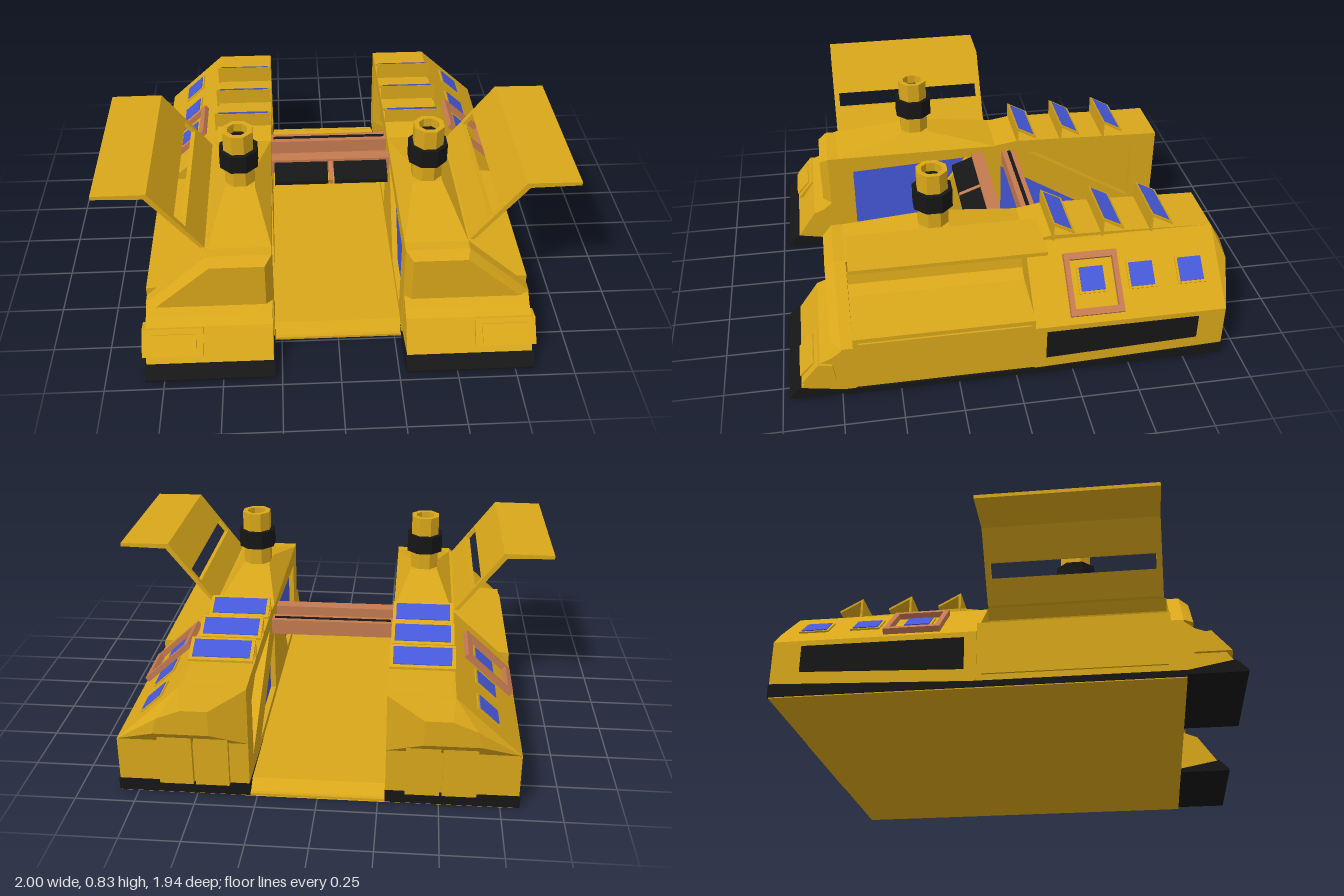
import * as THREE from 'three';
import { ConvexGeometry } from 'three/addons/geometries/ConvexGeometry.js';

const mat = (color) => new THREE.MeshStandardMaterial({ color, flatShading: true });
const V = (x, y, z) => new THREE.Vector3(x, y, z);

// Box given by its limits
function box(x0, x1, y0, y1, z0, z1) {
  return new THREE.BoxGeometry(x1 - x0, y1 - y0, z1 - z0)
    .translate((x0 + x1) / 2, (y0 + y1) / 2, (z0 + z1) / 2);
}

// Section of [x, y] points, extruded from z0 to z1
function alongZ(points, z0, z1) {
  const shape = new THREE.Shape(points.map((p) => new THREE.Vector2(...p)));
  return new THREE.ExtrudeGeometry(shape, { depth: z1 - z0, bevelEnabled: false }).translate(0, 0, z0);
}

// Side profile of [z, y] points, extruded from x0 to x1, with holes
function alongX(points, x0, x1, holes = []) {
  const to2 = (ps) => ps.map(([z, y]) => new THREE.Vector2(-z, y));
  const shape = new THREE.Shape(to2(points));
  for (const h of holes) shape.holes.push(new THREE.Path(to2(h)));
  return new THREE.ExtrudeGeometry(shape, { depth: x1 - x0, bevelEnabled: false })
    .rotateY(Math.PI / 2).translate(x0, 0, 0);
}

// Solid between two outlines of [x, y] at two depths
const taper = (a, za, b, zb) => new ConvexGeometry(
  [...a.map(([x, y]) => V(x, y, za)), ...b.map(([x, y]) => V(x, y, zb))]);

// Mirrored copy across x = 0, with the winding turned round
function mirrored(geometry) {
  const g = geometry.index ? geometry.toNonIndexed() : geometry.clone();
  const p = g.attributes.position, a = V(), b = V();
  for (let i = 0; i < p.count; i++) p.setX(i, -p.getX(i));
  for (let i = 0; i < p.count; i += 3) {
    a.fromBufferAttribute(p, i + 1);
    b.fromBufferAttribute(p, i + 2);
    p.setXYZ(i + 1, b.x, b.y, b.z);
    p.setXYZ(i + 2, a.x, a.y, a.z);
  }
  g.computeVertexNormals();
  return g;
}

export function createModel() {
  const model = new THREE.Group();
  const gold = mat(0xd9a71a), black = mat(0x161616), blue = mat(0x4658d8), orange = mat(0xc47a50);
  const single = (name, g, m) => {
    const mesh = new THREE.Mesh(g, m);
    mesh.name = name;
    model.add(mesh);
  };
  const pair = (name, g, m = gold) => {
    single(name + 'Left', g, m);
    single(name + 'Right', mirrored(g), m);
  };

  // Hull bodies: rear cabin, open side bay, front bulkhead
  const inner = 0.32;
  const full = [[inner, 0.01], [0.825, 0.01], [0.825, 0.25], [0.55, 0.5], [inner, 0.5]];
  const bay = [[inner, 0.01], [0.82, 0.01], [0.82, 0.29], [0.56, 0.31], [0.51, 0.34],
    [0.5, 0.4], [0.52, 0.46], [0.56, 0.5], [inner, 0.5]];
  pair('rearCabin', alongZ(full, -0.92, -0.08));
  pair('sideBay', alongZ(bay, -0.08, 0.69));
  pair('frontBulkhead', alongZ(full, 0.69, 0.74));
  pair('cabinRoof', alongX([[-0.9, 0.5], [-0.2, 0.52], [-0.08, 0.5]], 0.28, 0.54));

  // Tapered ends of the upper hull
  const upper = [[0.28, 0.25], [0.825, 0.25], [0.55, 0.5], [0.28, 0.5]];
  pair('frontCap', taper(upper, 0.74, [[0.31, 0.26], [0.78, 0.26], [0.54, 0.47], [0.31, 0.47]], 0.78));
  pair('rearCap', taper(upper, -0.92, [[0.43, 0.31], [0.66, 0.31], [0.64, 0.38], [0.54, 0.42], [0.43, 0.42]], -0.97));
  pair('rearDoor', box(0.36, 0.5, 0.06, 0.29, -0.945, -0.92));
  pair('rearDoor', box(0.51, 0.65, 0.06, 0.29, -0.945, -0.92));

  // Inner walls with glazed openings and a slanted strut
  const frontHole = [[0.62, 0.08], [0.62, 0.42], [0.05, 0.45], [0.33, 0.08]];
  const rearHole = [[-0.12, 0.38], [-0.12, 0.08], [-0.6, 0.08]];
  const upperHole = [[-0.26, 0.45], [-0.8, 0.45], [-0.8, 0.13]];
  pair('innerWall', alongX([[-0.92, 0.01], [-0.92, 0.5], [0.74, 0.5], [0.74, 0.01]], 0.28, inner,
    [frontHole, rearHole, upperHole]));
  pair('frontInnerWindow', alongX(frontHole, 0.305, 0.325), blue);
  pair('rearInnerWindow', alongX(rearHole, 0.305, 0.325), blue);

  // Noses, lamps and dark skids
  pair('nose', alongX([[0.73, 0.02], [0.73, 0.25], [0.78, 0.21], [0.83, 0.19], [0.92, 0.06], [0.92, 0.03]], 0.285, 0.825));
  pair('noseLamp', alongX([[0.77, 0.1], [0.78, 0.18], [0.84, 0.19], [0.915, 0.1]], 0.58, 0.84));
  pair('lampPanel', alongX([[0.84, 0.11], [0.85, 0.17], [0.86, 0.175], [0.92, 0.11]], 0.61, 0.8));
  pair('skid', alongX([[-0.922, 0.004], [-0.922, 0.06], [-0.1, 0.03], [0.74, 0.03], [0.925, 0.065],
    [0.97, 0.02], [0.97, 0.012], [0.74, 0.012], [0.74, 0.004]], 0.279, 0.83), black);

  // Outer side panels
  pair('bayPanel', box(0.81, 0.829, 0.06, 0.27, -0.06, 0.67));
  pair('sideGrille', alongX([[-0.13, 0.085], [-0.13, 0.225], [-0.8, 0.225], [-0.8, 0.11]], 0.81, 0.829), black);

  // Windows on the sloping side, the first one framed
  const tilt = -Math.atan2(0.25, 0.275);
  const onSlope = (length, height, width, along, z) => new THREE.BoxGeometry(length, height, width)
    .translate(along, 0, z).rotateZ(tilt).translate(0.685, 0.377, 0);
  for (const z of [-0.35, -0.57, -0.79]) {
    pair('windowRim', onSlope(0.125, 0.014, 0.125, 0, z));
    pair('sideWindow', onSlope(0.105, 0.022, 0.105, 0, z), blue);
  }
  for (const s of [-1, 1]) {
    pair('windowFrameEnd', onSlope(0.03, 0.05, 0.235, s * 0.122 + 0.02, -0.353), orange);
    pair('windowFrameSide', onSlope(0.27, 0.05, 0.022, 0.02, -0.353 + s * 0.106), orange);
  }

  // Raised wing doors: sloped part with a slot, then a flat part
  const slope = (t0, t1, z0, z1) => alongZ([[0.56 + 0.215 * t0, 0.5 + 0.285 * t0], [0.58 + 0.215 * t0, 0.5 + 0.27 * t0],
    [0.58 + 0.215 * t1, 0.5 + 0.27 * t1], [0.56 + 0.215 * t1, 0.5 + 0.285 * t1]], z0, z1);
  pair('wingLower', slope(0, 0.34, -0.075, 0.68));
  pair('wingUpper', slope(0.54, 1, -0.075, 0.68));
  pair('wingSlotEnd', slope(0.34, 0.54, -0.075, -0.05));
  pair('wingSlotEnd', slope(0.34, 0.54, 0.655, 0.68));
  pair('wingFlat', alongZ([[0.775, 0.785], [0.79, 0.762], [1, 0.767], [1, 0.783]], -0.075, 0.68));

  // Exhaust stacks on pyramid bases
  const rect = (x0, x1, y, z0, z1) => [V(x0, y, z0), V(x1, y, z0), V(x1, y, z1), V(x0, y, z1)];
  pair('stackBase', new ConvexGeometry([...rect(0.28, 0.55, 0.5, -0.1, 0.69), ...rect(0.35, 0.48, 0.575, 0.235, 0.365)]));
  const drum = (r, y0, y1, open = false) => new THREE.CylinderGeometry(r, r, y1 - y0, 8, 1, open)
    .rotateY(Math.PI / 8).translate(0.415, (y0 + y1) / 2, 0.3);
  const ring = [[0.046, 0.79], [0.07, 0.55], [0.07, 0.835], [0.046, 0.835], [0.046, 0.79]]
    .slice(1).map((p) => new THREE.Vector2(...p));
  pair('stack', new THREE.LatheGeometry(ring, 8).rotateY(Math.PI / 8).translate(0.415, 0, 0.3));
  pair('stackBore', drum(0.05, 0.6, 0.795), black);
  pair('stackCollar', drum(0.09, 0.66, 0.745), black);

  // Tilted roof panels on upright plates
  for (const z of [-0.2, -0.42, -0.64]) {
    const sheet = (a, b, lift) => [[z - a, 0.59 - 0.55 * a + lift], [z - b, 0.59 - 0.55 * b + lift],
      [z - b, 0.58 - 0.55 * b], [z - a, 0.58 - 0.55 * a]];
    pair('roofPanelFrame', alongX(sheet(0, 0.1, 0), 0.28, 0.55));
    pair('roofPanelCell', alongX(sheet(0.012, 0.088, 0.003), 0.295, 0.535), blue);
    pair('roofPanelPost', box(0.28, 0.55, 0.5, 0.585, z - 0.01, z));
  }

  // Cargo floor and underside
  single('floor', alongX([[-0.92, 0], [-0.85, 0.045], [0.68, 0.05], [0.73, 0.005], [0.73, 0]], -0.3, 0.3), gold);
  single('underside', box(-0.825, 0.825, 0, 0.012, -0.918, 0.738), gold);

  // Cross beams with dark slats
  single('frontBeam', box(-0.28, 0.28, 0.395, 0.47, -0.03, 0.03), orange);
  single('rearBeam', box(-0.28, 0.28, 0.4, 0.47, -0.19, -0.125), orange);
  single('rearBeamGroove', box(-0.27, 0.27, 0.46, 0.473, -0.167, -0.15), black);
  const slat = [[0.02, 0.44], [0.02, 0.462], [0.13, 0.42], [0.13, 0.4]];
  pair('slat', alongX(slat, 0.015, 0.265), black);
  single('slatDivider', alongX(slat, -0.01, 0.01), orange);

  return model;
}
